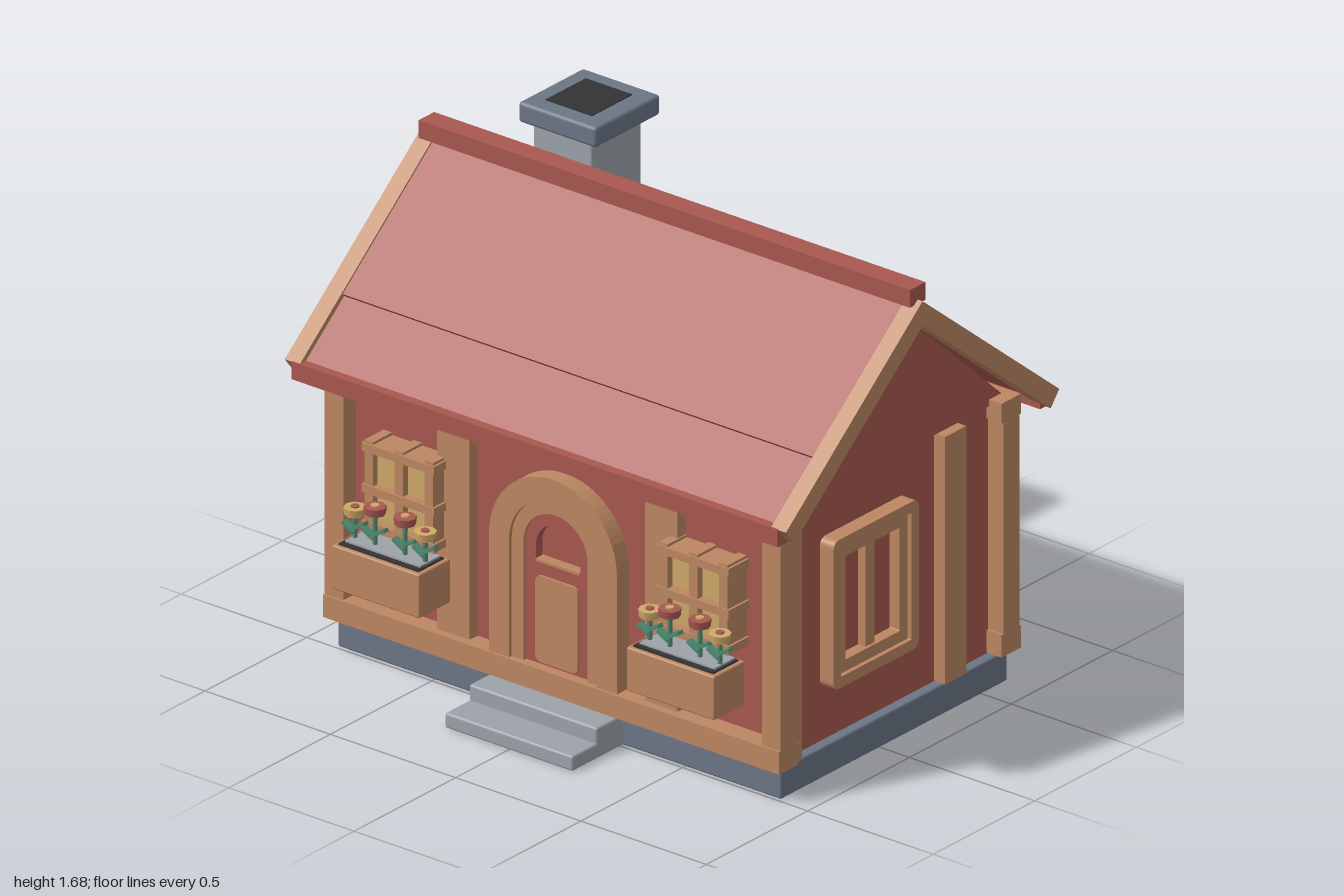
import * as THREE from 'three';
import { RoundedBoxGeometry } from 'three/addons/geometries/RoundedBoxGeometry.js';

const mat = (name, color, side = THREE.FrontSide) => {
  const m = new THREE.MeshStandardMaterial({ color, side });
  m.name = name;
  return m;
};

export function createModel() {
  const red = mat('barn red', 0xa85850);
  const wood = mat('warm wood', 0xbc8762);
  const slate = mat('slate', 0x6c7686);
  const stone = mat('pale stone', 0x9da2aa);
  const dark = mat('charcoal', 0x333333);
  const yellow = mat('straw yellow', 0xcfa968);
  const green = mat('leaf green', 0x4c8a70);
  const model = new THREE.Group();
  const MID = -0.065; // middle of the house in z

  const add = (parent, name, geo, m) => {
    const mesh = new THREE.Mesh(geo, m);
    mesh.name = name;
    parent.add(mesh);
    return mesh;
  };
  // box given by its limits; r rounds the edges
  const box = (parent, name, m, x0, x1, y0, y1, z0, z1, r = 0) => {
    const s = [x1 - x0, y1 - y0, z1 - z0];
    const g = r ? new RoundedBoxGeometry(...s, 2, r) : new THREE.BoxGeometry(...s);
    g.translate((x0 + x1) / 2, (y0 + y1) / 2, (z0 + z1) / 2);
    return add(parent, name, g, m);
  };
  const group = (parent, name) => {
    const g = new THREE.Group();
    g.name = name;
    parent.add(g);
    return g;
  };
  const extrude = (shape, depth) =>
    new THREE.ExtrudeGeometry(shape, { depth, bevelEnabled: false, curveSegments: 16 });
  const arch = (r, base, cy, Kind = THREE.Shape) => {
    const s = new Kind();
    s.moveTo(-r, base);
    s.lineTo(r, base);
    s.lineTo(r, cy);
    s.absarc(0, cy, r, 0, Math.PI, false);
    s.closePath();
    return s;
  };
  const roundRect = (w, h, r, Kind = THREE.Shape) => {
    const s = new Kind(), a = w / 2, b = h / 2;
    s.moveTo(-a + r, -b);
    s.lineTo(a - r, -b); s.quadraticCurveTo(a, -b, a, -b + r);
    s.lineTo(a, b - r); s.quadraticCurveTo(a, b, a - r, b);
    s.lineTo(-a + r, b); s.quadraticCurveTo(-a, b, -a, b - r);
    s.lineTo(-a, -b + r); s.quadraticCurveTo(-a, -b, -a + r, -b);
    return s;
  };

  // foundation and steps
  box(model, 'foundation', slate, -0.885, 0.885, 0, 0.105, -0.625, 0.49, 0.008);
  box(model, 'upperStep', stone, -0.255, 0.255, 0, 0.105, 0.46, 0.62, 0.008);
  box(model, 'lowerStep', stone, -0.255, 0.255, 0, 0.052, 0.6, 0.74, 0.008);

  // walls and gables
  box(model, 'walls', red, -0.85, 0.85, 0.105, 0.955, MID - 0.525, MID + 0.525);
  const tri = new THREE.Shape();
  tri.moveTo(-0.585, 0.955);
  tri.lineTo(0.585, 0.955);
  tri.lineTo(0, 1.495);
  const gable = extrude(tri, 0.06);
  gable.translate(0, 0, -0.03);
  gable.rotateY(Math.PI / 2);
  for (const s of [-1, 1]) add(model, 'gable', gable, red).position.set(s * 0.83, 0, MID);

  // timber frame: each turn covers one long side and one end
  for (const turn of [0, 1]) {
    const frame = group(model, turn ? 'backFrame' : 'frontFrame');
    frame.position.z = MID;
    frame.rotation.y = turn * Math.PI;
    box(frame, 'baseBeam', wood, -0.91, 0.91, 0.108, 0.185, 0.5, 0.595);
    box(frame, 'topBeam', wood, -0.91, 0.91, 0.91, 0.978, 0.5, 0.595);
    for (const s of [-1, 1])
      box(frame, 'cornerPost', wood, s * 0.8725 - 0.0375, s * 0.8725 + 0.0375, 0.11, 0.955, 0.508, 0.588);
    box(frame, 'sidePost', wood, 0.83, 0.895, 0.107, 0.955, -0.345, -0.24);
    box(frame, 'sidePost', wood, 0.83, 0.895, 0.107, 0.955, 0.465, 0.55);
    const posts = turn ? [[-0.085, 0.085]] : [[-0.48, -0.35], [0.35, 0.48]];
    for (const [a, b] of posts) box(frame, 'wallPost', wood, a, b, 0.18, 0.92, 0.5, 0.565);
  }

  // roof: one slope, repeated on the other side
  for (const turn of [0, 1]) {
    const half = group(model, turn ? 'backRoof' : 'frontRoof');
    half.position.z = MID;
    half.rotation.y = turn * Math.PI;
    const slope = group(half, 'slope');
    slope.position.y = 1.54;
    slope.rotation.x = Math.atan(0.813);
    box(slope, 'upperRoofBoard', red, -0.95, 0.95, -0.055, -0.006, 0, 0.6);
    box(slope, 'lowerRoofBoard', red, -0.95, 0.95, -0.055, -0.018, 0.59, 0.85);
    for (const s of [-1, 1])
      box(slope, 'rakeBoard', wood, s * 0.97 - 0.03, s * 0.97 + 0.03, -0.066, 0, 0, 0.867);
    box(half, 'eaveBoard', red, -0.97, 0.97, 0.935, 0.995, 0.615, 0.676);
  }
  box(model, 'ridgeCap', red, -0.98, 0.98, 1.525, 1.586, MID - 0.038, MID + 0.038);

  // chimney
  box(model, 'chimneyShaft', stone, -0.665, -0.43, 1.14, 1.62, -0.445, -0.2, 0.008);
  box(model, 'chimneyCap', slate, -0.7, -0.39, 1.61, 1.68, -0.49, -0.17, 0.012);
  box(model, 'chimneyOpening', dark, -0.64, -0.455, 1.676, 1.683, -0.43, -0.232);

  // door
  const door = group(model, 'door');
  const ring = (name, ro, ri, z, m) => {
    const s = arch(ro, 0.18, 0.59);
    s.holes.push(arch(ri, 0.18, 0.59, THREE.Path));
    add(door, name, extrude(s, z - 0.45), m).position.z = 0.45;
  };
  ring('outerDoorTrim', 0.255, 0.175, 0.521, wood);
  ring('innerDoorTrim', 0.176, 0.128, 0.508, wood);
  const leaf = arch(0.13, 0.18, 0.59);
  leaf.holes.push(arch(0.088, 0.54, 0.588, THREE.Path));
  add(door, 'doorLeaf', extrude(leaf, 0.03), red).position.z = 0.465;
  add(door, 'doorPanel', extrude(roundRect(0.17, 0.295, 0.025), 0.012), wood).position.set(0, 0.343, 0.492);
  box(door, 'doorWindowSill', wood, -0.088, 0.088, 0.533, 0.542, 0.462, 0.498);

  // side window on the left end
  const side = group(model, 'sideWindow');
  side.position.set(0.84, 0.546, 0.046);
  side.rotation.y = Math.PI / 2;
  const frameRing = (name, w, h, w2, h2, depth) => {
    const s = roundRect(w, h, 0.03);
    s.holes.push(roundRect(w2, h2, 0.004, THREE.Path));
    add(side, name, extrude(s, depth), wood);
  };
  frameRing('outerSideFrame', 0.42, 0.51, 0.345, 0.435, 0.065);
  frameRing('innerSideFrame', 0.36, 0.45, 0.268, 0.355, 0.05);
  box(side, 'sideMullion', wood, -0.022, 0.022, -0.18, 0.18, 0, 0.04);

  // front windows with flower boxes
  for (const s of [-1, 1]) {
    const w = group(model, s < 0 ? 'rightWindow' : 'leftWindow');
    w.position.x = s * 0.588;
    box(w, 'windowPanes', yellow, -0.12, 0.12, 0.5, 0.76, 0.45, 0.531);
    for (const x of [-0.12, 0, 0.12])
      box(w, 'windowUpright', wood, x - 0.017, x + 0.017, 0.47, 0.78, 0.45, 0.555);
    for (const y of [0.757, 0.615, 0.49])
      box(w, 'windowRail', wood, -0.145, 0.145, y - 0.014, y + 0.014, 0.45, 0.56);

    const planter = group(w, 'flowerBox');
    box(planter, 'planterBox', wood, -0.175, 0.175, 0.3, 0.45, 0.515, 0.67, 0.006);
    box(planter, 'soil', dark, -0.16, 0.16, 0.44, 0.455, 0.53, 0.655);
    box(planter, 'gravel', stone, -0.15, 0.15, 0.45, 0.461, 0.535, 0.635);
    for (const [x, y, m] of [[-0.14, 0.552, yellow], [-0.06, 0.578, red], [0.06, 0.578, red], [0.14, 0.552, yellow]]) {
      const f = group(planter, 'flower');
      f.position.set(x, 0, 0.597);
      const stem = new THREE.CylinderGeometry(0.008, 0.008, y - 0.45, 6);
      add(f, 'stem', stem, green).position.y = (y + 0.45) / 2;
      for (const d of [-1, 1]) {
        const l = box(f, 'leaf', green, -0.024, 0.024, -0.006, 0.006, -0.012, 0.012);
        l.position.set(d * 0.022, 0.5 + d * 0.008, 0);
        l.rotation.z = d * 0.5;
      }
      add(f, 'blossom', new THREE.CylinderGeometry(0.037, 0.034, 0.026, 8), m).position.y = y;
      add(f, 'blossomHeart', new THREE.CylinderGeometry(0.014, 0.014, 0.008, 8), m === red ? yellow : red).position.y = y + 0.014;
    }
  }
  return model;
}
